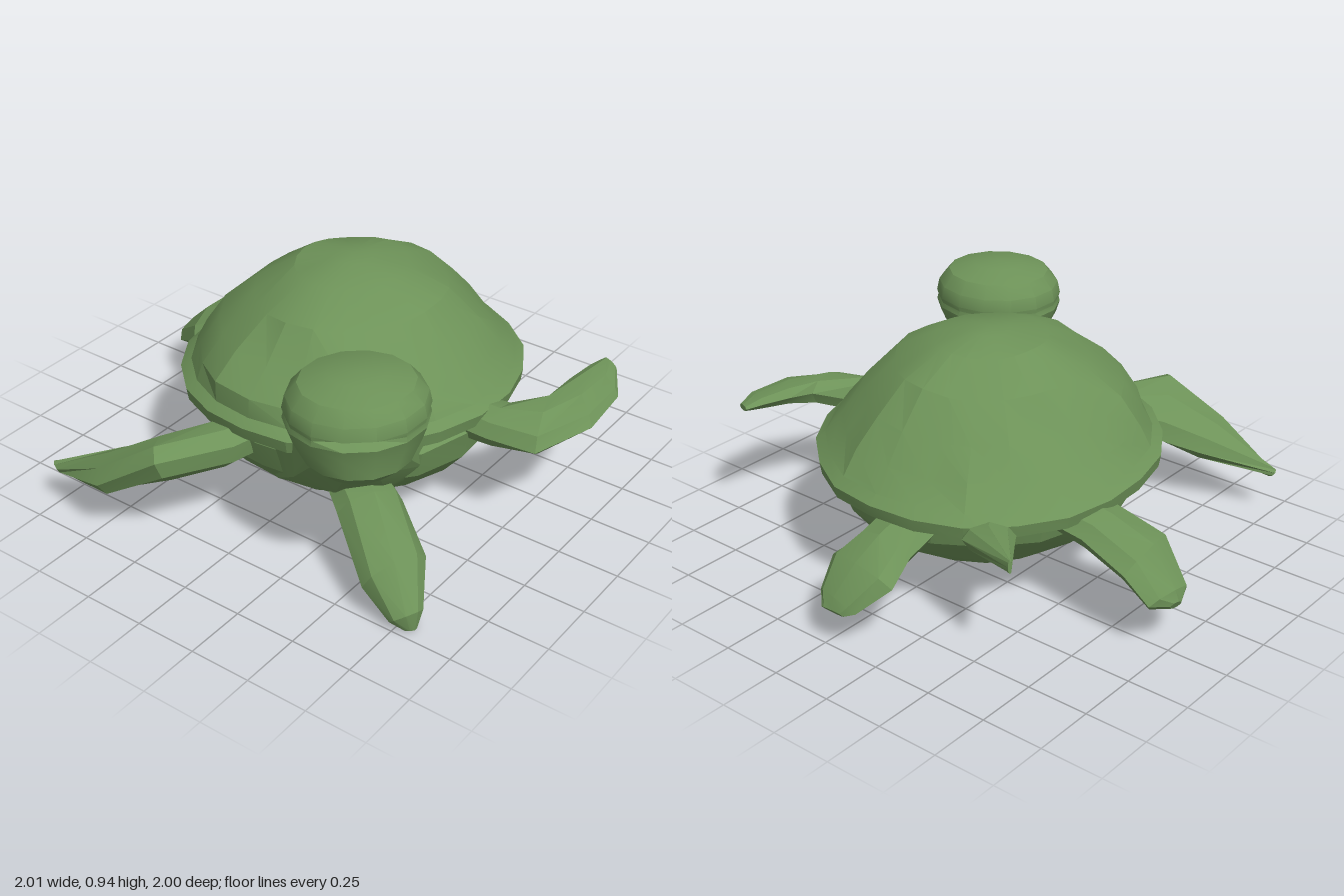
import * as THREE from 'three';
import { toCreasedNormals } from 'three/addons/utils/BufferGeometryUtils.js';

const V = (p) => new THREE.Vector3(...p);

// Loft of oval rings: each section is [edge A, edge B, half thickness]
function loft(sections, n = 8) {
  const mids = sections.map(([a, b]) => V(a).add(V(b)).multiplyScalar(0.5));
  const last = sections.length - 1;
  const pos = [];
  sections.forEach(([a, b, t], i) => {
    const half = V(b).sub(V(a)).multiplyScalar(0.5);
    const axis = mids[Math.min(i + 1, last)].clone().sub(mids[Math.max(i - 1, 0)]);
    const up = axis.cross(half).normalize().multiplyScalar(t);
    for (let k = 0; k < n; k++) {
      const w = (k / n) * Math.PI * 2;
      const p = mids[i].clone().addScaledVector(half, Math.cos(w)).addScaledVector(up, Math.sin(w));
      pos.push(p.x, p.y, p.z);
    }
  });
  pos.push(...mids[0].toArray(), ...mids[last].toArray());
  const idx = [];
  const end = sections.length * n;
  for (let k = 0; k < n; k++) {
    const m = (k + 1) % n;
    for (let i = 0; i < last; i++) {
      const a = i * n + k, b = i * n + m;
      idx.push(a, b, a + n, b, b + n, a + n);
    }
    idx.push(end, m, k, end + 1, last * n + k, last * n + m);
  }
  // Turn the faces outward when the volume comes out negative
  let volume = 0;
  const at = (i) => new THREE.Vector3().fromArray(pos, i * 3);
  for (let i = 0; i < idx.length; i += 3) {
    volume += at(idx[i]).dot(at(idx[i + 1]).cross(at(idx[i + 2])));
  }
  if (volume < 0) idx.reverse();
  const g = new THREE.BufferGeometry();
  g.setAttribute('position', new THREE.Float32BufferAttribute(pos, 3));
  g.setIndex(idx);
  return g;
}

// Lathe whose vertices are then moved by a rule
function turned(profile, sides, rule) {
  const g = new THREE.LatheGeometry(profile.map(([r, y]) => new THREE.Vector2(r, y)), sides);
  const p = g.attributes.position;
  const v = new THREE.Vector3();
  for (let i = 0; i < p.count; i++) {
    v.fromBufferAttribute(p, i);
    rule(v);
    p.setXYZ(i, v.x, v.y, v.z);
  }
  g.deleteAttribute('normal');
  g.deleteAttribute('uv');
  return g;
}

// Uneven carving
const rough = (v) => Math.sin(v.x * 11 + v.y * 5) * Math.cos(v.z * 9 - v.y * 7);

export function createModel() {
  const turtle = new THREE.Group();
  turtle.name = 'turtle';
  const green = new THREE.MeshStandardMaterial({ color: 0x6d9258 });
  green.name = 'turtle green';
  const add = (name, geometry, crease = 0.35) => {
    const mesh = new THREE.Mesh(toCreasedNormals(geometry, crease), green);
    mesh.name = name;
    turtle.add(mesh);
  };

  // Domed shell with a thick rim, tilted up toward the head and steeper in front
  add('shell', turned([
    [0.48, 0.45], [0.64, 0.43], [0.69, 0.45], [0.7, 0.5], [0.66, 0.53], [0.59, 0.61],
    [0.5, 0.71], [0.38, 0.83], [0.22, 0.915], [0.08, 0.95], [0, 0.957],
  ], 22, (v) => {
    const r = Math.hypot(v.x, v.z);
    const dome = v.y > 0.55 && r > 0.1;
    const front = dome ? 0.1 * Math.max(0, v.z / r) : 0;
    const bump = 1 + front + (dome ? 0.03 : 0.012) * rough(v);
    v.y += 0.05 * (v.x + v.z) * Math.min(1, r) + (dome ? 0.015 * rough(v) : 0);
    v.x *= 0.95 * bump;
    v.z = v.z * bump - 0.05;
  }));

  // Rounded belly
  add('belly', turned([
    [0, 0.08], [0.19, 0.083], [0.36, 0.125], [0.49, 0.21], [0.58, 0.32], [0.61, 0.44], [0.5, 0.52],
  ], 18, (v) => {
    const bump = 1 + 0.02 * rough(v);
    v.x = v.x * bump + 0.02;
    v.z = v.z * 1.05 * bump - 0.04;
  }));

  // Neck rising diagonally toward +x +z from broad shoulders
  const across = (x, y, z, w, t) => [[x - w, y, z + w], [x + w, y, z - w], t];
  add('neck', loft([
    across(0.22, 0.33, 0.22, 0.28, 0.2),
    across(0.32, 0.46, 0.38, 0.21, 0.2),
    across(0.41, 0.58, 0.49, 0.14, 0.16),
    across(0.47, 0.7, 0.57, 0.12, 0.15),
  ], 10), 0.5);

  // Blunt head with a flat crown, slightly wide, notched at the front for the mouth
  add('head', turned([
    [0, 0.54], [0.12, 0.555], [0.19, 0.62], [0.235, 0.7], [0.25, 0.75], [0.245, 0.77],
    [0.25, 0.79], [0.24, 0.84], [0.2, 0.89], [0.1, 0.922], [0, 0.928],
  ], 14, (v) => {
    const forward = (v.x + v.z) * Math.SQRT1_2;
    const side = (v.x - v.z) * 0.025;
    if (Math.abs(v.y - 0.77) < 0.005 && forward > 0.22) {
      v.x *= 0.87;
      v.z *= 0.87;
    }
    const chin = v.y < 0.68 ? 0.025 : 0;
    v.y += 0.03 * v.x;
    v.x += 0.48 + chin + side;
    v.z += 0.59 + chin - side;
  }), 0.5);

  // Front flippers
  add('rightFrontFlipper', loft([
    [[-0.2, 0.36, 0.45], [0.02, 0.44, 0.45], 0.09],
    [[-0.24, 0.34, 0.59], [-0.03, 0.44, 0.66], 0.09],
    [[-0.32, 0.3, 0.66], [-0.17, 0.46, 0.94], 0.085],
    [[-0.48, 0.26, 0.735], [-0.42, 0.29, 0.995], 0.075],
    [[-0.76, 0.2, 0.88], [-0.71, 0.18, 0.91], 0.02],
  ]));
  add('leftFrontFlipper', loft([
    [[0.5, 0.44, -0.12], [0.5, 0.46, 0.08], 0.08],
    [[0.7, 0.47, -0.13], [0.7, 0.45, 0.075], 0.075],
    [[0.79, 0.51, -0.24], [0.89, 0.44, 0.04], 0.065],
    [[0.8, 0.53, -0.36], [1.0, 0.48, -0.18], 0.045],
    [[0.82, 0.54, -0.48], [0.99, 0.5, -0.4], 0.03],
    [[0.84, 0.54, -0.56], [0.91, 0.53, -0.53], 0.012],
  ]));

  // Limb hanging below the head
  add('lowerFrontLimb', loft([
    [[0.28, 0.3, 0.5], [0.42, 0.28, 0.3], 0.08],
    [[0.4, 0.29, 0.6], [0.53, 0.27, 0.37], 0.085],
    [[0.62, 0.15, 0.75], [0.745, 0.21, 0.53], 0.085],
    [[0.74, 0.05, 0.75], [0.825, 0.09, 0.66], 0.045],
    [[0.78, 0.015, 0.72], [0.82, 0.02, 0.69], 0.015],
  ]));

  // Hind flippers
  add('rightHindFlipper', loft([
    [[-0.5, 0.4, -0.32], [-0.55, 0.4, -0.05], 0.07],
    [[-0.65, 0.38, -0.32], [-0.68, 0.36, -0.05], 0.075],
    [[-0.86, 0.32, -0.35], [-0.8, 0.3, 0], 0.07],
    [[-0.96, 0.22, -0.33], [-0.97, 0.2, -0.1], 0.05],
    [[-1, 0.2, -0.25], [-1, 0.18, -0.18], 0.02],
  ]));
  add('leftHindFlipper', loft([
    [[-0.2, 0.39, -0.55], [0.05, 0.39, -0.55], 0.07],
    [[-0.2, 0.33, -0.75], [0.05, 0.33, -0.75], 0.07],
    [[-0.23, 0.27, -0.88], [0.1, 0.28, -0.84], 0.06],
    [[-0.14, 0.18, -0.98], [0.06, 0.2, -0.95], 0.035],
    [[-0.1, 0.165, -1], [0.01, 0.165, -1], 0.012],
  ]));

  // Pointed tail under the rim
  add('tail', loft([
    [[-0.31, 0.41, -0.57], [-0.46, 0.41, -0.45], 0.06],
    [[-0.37, 0.43, -0.66], [-0.52, 0.43, -0.54], 0.055],
    [[-0.65, 0.46, -0.745], [-0.66, 0.46, -0.735], 0.025],
  ]));

  return turtle;
}
